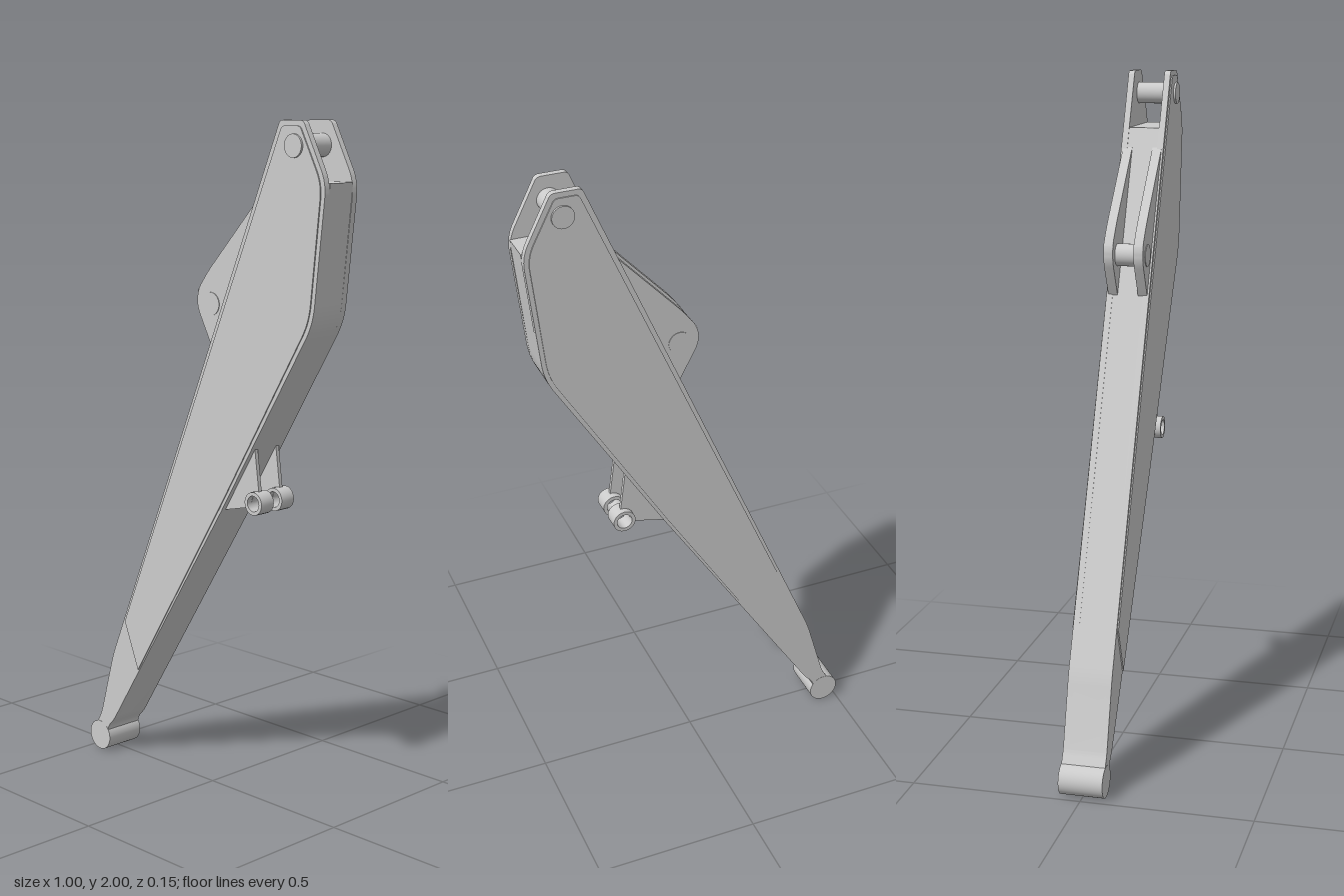
import * as THREE from 'three';
import { toCreasedNormals } from 'three/addons/utils/BufferGeometryUtils.js';

const material = new THREE.MeshStandardMaterial({ color: 0xcccccc });

// Closed outline from [x, y, cornerCut] points; corners with a cut are rounded.
function outline(points) {
  const shape = new THREE.Shape();
  const n = points.length;
  points.forEach(([x, y, cut = 0], i) => {
    const p = new THREE.Vector2(x, y);
    const toward = (q) => new THREE.Vector2(q[0], q[1]).sub(p).setLength(cut).add(p);
    const a = cut ? toward(points[(i + n - 1) % n]) : p;
    if (i === 0) shape.moveTo(a.x, a.y);
    else shape.lineTo(a.x, a.y);
    if (cut) {
      const b = toward(points[(i + 1) % n]);
      shape.quadraticCurveTo(x, y, b.x, b.y);
    }
  });
  shape.closePath();
  return shape;
}

// Plate spanning z0..z1
function plate(name, shape, z0, z1) {
  const geo = new THREE.ExtrudeGeometry(shape, { depth: z1 - z0, bevelEnabled: false, curveSegments: 10 });
  geo.translate(0, 0, z0);
  const mesh = new THREE.Mesh(toCreasedNormals(geo, 0.6), material);
  mesh.name = name;
  return mesh;
}

// Same plate on both sides of the arm
function platePair(name, shape, z0, z1) {
  const pair = new THREE.Group();
  pair.name = name;
  pair.add(plate(name + 'Left', shape, z0, z1), plate(name + 'Right', shape, -z1, -z0));
  return pair;
}

// Round pin along z
function pin(name, x, y, radius, length) {
  const geo = new THREE.CylinderGeometry(radius, radius, length, 40).rotateX(Math.PI / 2);
  const mesh = new THREE.Mesh(geo, material);
  mesh.name = name;
  mesh.position.set(x, y, 0);
  return mesh;
}

export function createModel() {
  const arm = new THREE.Group();
  arm.name = 'arm';

  const GAP = 0.046, SIDE = 0.0645, FACE = 0.068;
  const lower = [[-0.42, 0.03], [-0.412, 0.088, 0.015], [-0.385, 0.115, 0.015], [0.1, 0.875]];
  const upper = [[-0.385, 0.333, 0.03], [-0.445, 0.125, 0.015], [-0.468, 0.085, 0.01], [-0.48, 0.03]];

  // Box section between the side plates, stopping below the fork
  arm.add(plate('core', outline([
    ...lower, [0.455, 1.455, 0.05], [0.495, 1.835], [0.258, 1.835], ...upper,
  ]), -GAP, GAP));

  // Side plates running up into the fork
  arm.add(platePair('sidePlate', outline([
    ...lower, [0.455, 1.455, 0.05], [0.497, 1.835, 0.04], [0.412, 2, 0.012], [0.326, 2, 0.012], ...upper,
  ]), GAP, SIDE));

  // Raised cover panels on the outer faces
  arm.add(platePair('coverPanel', outline([
    [-0.265, 0.31], [0.1, 0.893], [0.443, 1.46, 0.05], [0.483, 1.832, 0.04],
    [0.403, 1.985, 0.012], [0.336, 1.985, 0.012], [-0.324, 0.455],
  ]), SIDE, FACE));

  // Pivot boss at the foot and pin through the fork
  arm.add(pin('footBoss', -0.453, 0.047, 0.047, 0.13));
  arm.add(pin('forkPin', 0.383, 1.932, 0.032, 0.148));

  // Rear bracket: twin ears with a pin between
  const rear = new THREE.Group();
  rear.name = 'rearBracket';
  rear.add(platePair('rearEar', outline([
    [0.235, 1.78], [0.025, 1.555, 0.05], [-0.015, 1.49, 0.05], [0.06, 1.35], [0.12, 1.42],
  ]), 0.031, 0.059));
  rear.add(pin('rearPin', 0.055, 1.48, 0.033, 0.122));
  arm.add(rear);

  // Front bracket: twin gussets, each carrying a short bushing
  const front = new THREE.Group();
  front.name = 'frontBracket';
  const hub = [0.234, 0.922];
  front.add(platePair('gusset', outline([
    [0.1, 0.88], [0.205, 0.905], [0.222, 0.952], [0.239, 0.955], [0.221, 1.09], [0.18, 1.03],
  ]), 0.037, 0.049));
  const ring = new THREE.Shape().absarc(...hub, 0.034, 0, Math.PI * 2);
  ring.holes.push(new THREE.Path().absarc(...hub, 0.023, 0, Math.PI * 2, true));
  front.add(platePair('bushing', ring, 0.017, 0.067));
  arm.add(front);

  return arm;
}
